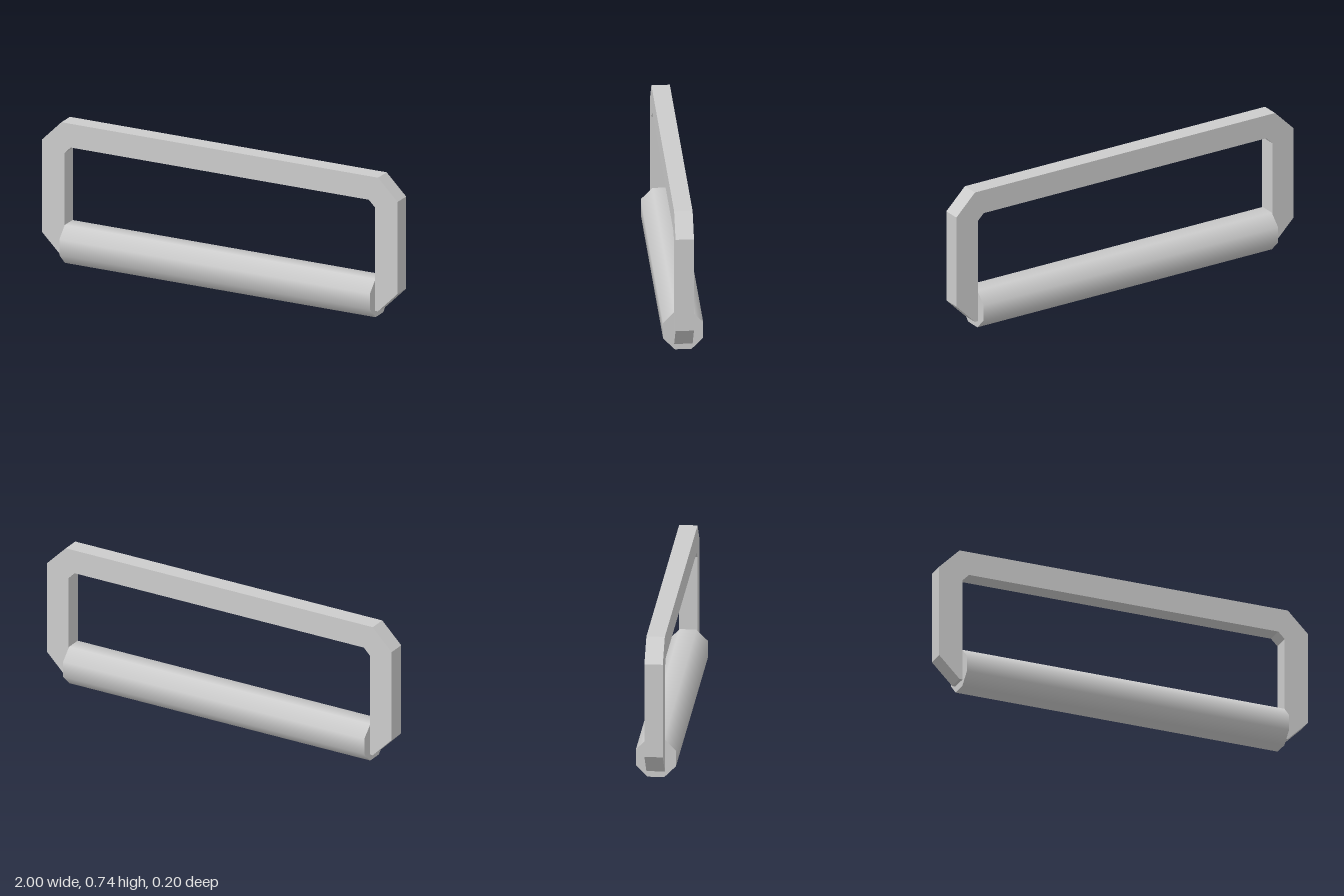
import * as THREE from 'three';

// Rectangle outline with chamfered corners
function chamferedRect(path, hw, y0, y1, c) {
  path.moveTo(-hw + c, y0);
  path.lineTo(hw - c, y0);
  path.lineTo(hw, y0 + c);
  path.lineTo(hw, y1 - c);
  path.lineTo(hw - c, y1);
  path.lineTo(-hw + c, y1);
  path.lineTo(-hw, y1 - c);
  path.lineTo(-hw, y0 + c);
  path.closePath();
  return path;
}

export function createModel() {
  const group = new THREE.Group();
  group.name = 'buckle';
  const metal = new THREE.MeshStandardMaterial({ color: 0xcccccc });
  metal.name = 'grey metal';

  // Flat loop; its lower bar runs inside the roller
  const depth = 0.092;
  const shape = chamferedRect(new THREE.Shape(), 1, 0.035, 0.74, 0.11);
  shape.holes.push(chamferedRect(new THREE.Path(), 0.873, 0.16, 0.615, 0.035));
  const loopGeometry = new THREE.ExtrudeGeometry(shape, { depth, bevelEnabled: false });
  loopGeometry.translate(0, 0, -depth / 2);
  const loop = new THREE.Mesh(loopGeometry, metal);
  loop.name = 'loop';
  group.add(loop);

  // Eight-sided roller, flat side down, smooth shaded
  const radius = 0.1 / Math.cos(Math.PI / 8);
  const rollerGeometry = new THREE.CylinderGeometry(radius, radius, 1.746, 8, 1, false, Math.PI / 8);
  rollerGeometry.rotateZ(Math.PI / 2);
  const roller = new THREE.Mesh(rollerGeometry, metal);
  roller.name = 'roller';
  roller.position.y = 0.1;
  group.add(roller);

  return group;
}
